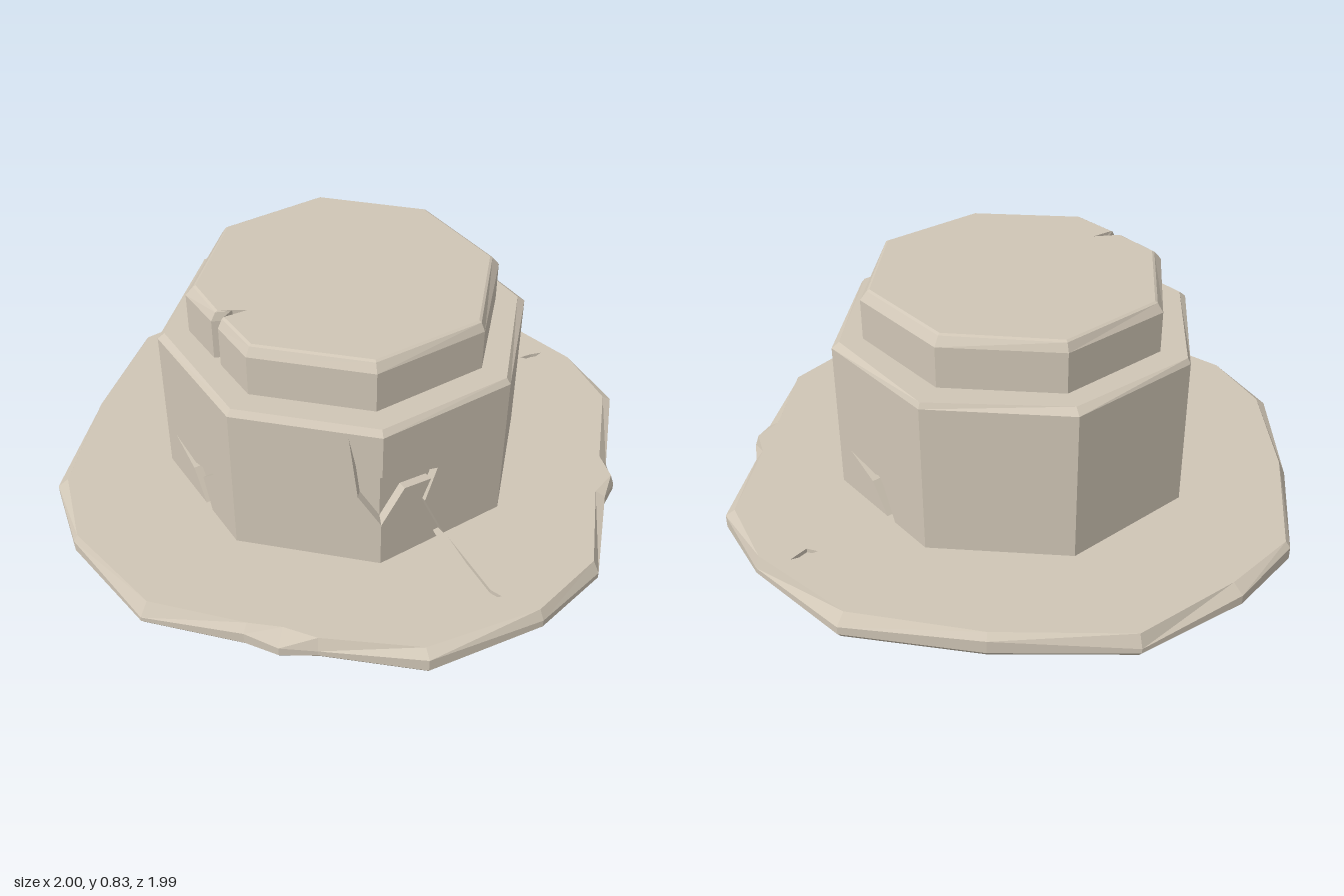
import * as THREE from 'three';

const stone = new THREE.MeshStandardMaterial({ color: 0xd0c6b6, flatShading: true, roughness: 0.9 });
const T = Math.tan(Math.PI / 8);

function mesh(name, geometry) {
  const m = new THREE.Mesh(geometry, stone);
  m.name = name;
  return m;
}

// Skin between rings of [x, y, z] points, closed at both ends
function loft(rings) {
  const pos = [];
  const tri = (a, b, c) => pos.push(...a, ...b, ...c);
  const centre = r => [0, r.reduce((s, p) => s + p[1], 0) / r.length, 0];
  const n = rings[0].length;
  const first = rings[0], last = rings[rings.length - 1];
  for (let i = 0; i < n; i++) {
    const j = (i + 1) % n;
    for (let k = 0; k + 1 < rings.length; k++) {
      const lo = rings[k], hi = rings[k + 1];
      tri(lo[i], lo[j], hi[j]);
      tri(lo[i], hi[j], hi[i]);
    }
    tri(centre(last), last[i], last[j]);
    tri(centre(first), first[j], first[i]);
  }
  const g = new THREE.BufferGeometry();
  g.setAttribute('position', new THREE.Float32BufferAttribute(pos, 3));
  g.computeVertexNormals();
  return g;
}

const ring = (outline, y, scale = 1) => outline.map(([x, z]) => [x * scale, y, z * scale]);

// Octagon corners, starting at the right end of the front face
function octagon(apothem) {
  return Array.from({ length: 8 }, (_, i) => {
    const a = (i + 0.5) * Math.PI / 4, r = apothem / Math.cos(Math.PI / 8);
    return [Math.sin(a) * r, Math.cos(a) * r];
  });
}

// Flat horizontal plate, cut through by cracks
function plate(outline, y, thickness, holes = []) {
  const v = ([x, z]) => new THREE.Vector2(x, -z);
  const shape = new THREE.Shape(outline.map(v));
  shape.holes = holes.map(h => new THREE.Path(h.map(v)));
  return new THREE.ExtrudeGeometry(shape, { depth: thickness, bevelEnabled: false })
    .rotateX(-Math.PI / 2).translate(0, y - thickness, 0);
}

// Worn base slab with an irregular rim
function buildSlab() {
  const group = new THREE.Group();
  group.name = 'baseSlab';
  const rim = [
    [0, 0.99], [0.12, 0.965], [0.47, 0.95], [0.8, 0.7], [0.965, 0.45], [0.97, 0.1], [1, 0],
    [0.97, -0.1], [0.97, -0.47], [0.8, -0.7], [0.47, -0.96], [0, -1], [-0.47, -0.96],
    [-0.79, -0.71], [-0.965, -0.47], [-1, 0], [-0.965, 0.45], [-0.8, 0.7], [-0.47, 0.95], [-0.12, 0.965],
  ];
  const wear = i => 0.975 + 0.012 * Math.sin(i * 2.3);
  const top = rim.map(([x, z], i) => {
    const s = i === 0 ? 0.94 : wear(i);
    return [x * s, z * s];
  });
  const shoulder = rim.map(([x, z], i) => [x, 0.052 + 0.016 * Math.sin(i * 4.1), z]);
  group.add(mesh('slabBody', loft([
    ring(rim, 0, 0.985), ring(rim, 0.02), shoulder, ring(top, 0.085), ring(top, 0.07, 0.98),
  ])));
  const cracks = [
    [[0.45, 0.43], [0.62, 0.64], [0.66, 0.66], [0.61, 0.68], [0.6, 0.64]],
    [[0.6, -0.65], [0.64, -0.64], [0.68, -0.7], [0.64, -0.68]],
  ];
  group.add(mesh('slabTop', plate(top, 0.085, 0.02, cracks)));
  return group;
}

// Octagonal drum: a core faced with panels whose gaps form the cracks
function buildDrum() {
  const group = new THREE.Group();
  group.name = 'drum';
  const b = 0.07, t = 0.63, h = 0.6 * T;
  const plain = [[[-h, b], [h, b], [h, t], [-h, t]]];
  const chipped = [[
    [-h, b], [0.04, b], [-0.05, 0.19], [-0.18, 0.25], [-0.03, 0.23], [0.11, 0.28],
    [0.02, 0.2], [0.08, b], [h, b], [h, t], [-h, t],
  ]];
  const faces = {
    0: [[
      [-h, b], [h, b], [h, 0.26], [0.17, 0.37], [0.14, 0.61], [0.185, 0.4],
      [0.22, 0.46], [h, 0.47], [h, t], [-h, t],
    ]],
    1: [
      [[-h, b], [-0.01, b], [-0.1, 0.27], [-0.055, 0.37], [-0.16, 0.38], [-h, 0.26]],
      [[0.02, b], [h, b], [h, t], [-h, t], [-h, 0.47], [-0.03, 0.405], [-0.075, 0.28]],
    ],
    3: chipped,
    7: chipped,
  };
  group.add(mesh('drumCore', loft([ring(octagon(0.57), b), ring(octagon(0.57), t)])));
  for (let i = 0; i < 8; i++) {
    for (const outline of faces[i] || plain) {
      const shape = new THREE.Shape(outline.map(p => new THREE.Vector2(...p)));
      const g = new THREE.ExtrudeGeometry(shape, { depth: 0.04, bevelEnabled: false });
      g.translate(0, 0, 0.56).rotateY(i * Math.PI / 4);
      group.add(mesh('drumPanel', g));
    }
  }
  // Bevelled top edge, unevenly worn
  const edge = octagon(0.6);
  const worn = edge.map(([x, z], i) => {
    const s = 0.97 + 0.015 * Math.sin(i * 2.7);
    return [x * s, 0.65, z * s];
  });
  group.add(mesh('drumRim', loft([ring(edge, t), worn])));
  return group;
}

// Bevelled cap with a split running across its top from a notch in the edge
function buildCap() {
  const group = new THREE.Group();
  group.name = 'cap';
  const outline = octagon(0.5);
  // Notch in the front right diagonal side
  outline.splice(6, 0, ...[[-0.37, 0.337], [-0.32, 0.32], [-0.337, 0.37]].reverse());
  // Corners 5 and 6 bound that side, so order the points around the rim
  outline.sort((p, q) => angle(p) - angle(q));
  const notch = outline.findIndex(p => p[0] === -0.32);
  const wear = i => 0.945 + 0.012 * Math.sin(i * 1.9);
  const top = outline.map(([x, z], i) => {
    const s = Math.abs(i - notch) < 2 ? 0.95 : wear(i);
    return [x * s, z * s];
  });
  group.add(mesh('capBody', loft([
    ring(outline, 0.64), ring(outline, 0.795), ring(top, 0.825, 1.018),
    ring(top, 0.83), ring(top, 0.81, 0.99),
  ])));
  const split = [
    [-0.225, 0.27], [-0.155, 0.11], [-0.19, 0.06], [-0.115, 0.025], [0.02, -0.19], [0.165, -0.47],
    [0.028, -0.185], [-0.09, 0.05], [-0.125, 0.07], [-0.12, 0.11], [-0.2, 0.285],
  ];
  const cracked = [...top];
  cracked.splice(notch, 1, ...split.reverse());
  group.add(mesh('capTop', plate(cracked, 0.83, 0.025)));
  return group;
}

function angle([x, z]) {
  const a = Math.atan2(x, z);
  return a < 0 ? a + 2 * Math.PI : a;
}

export function createModel() {
  const model = new THREE.Group();
  model.name = 'stonePedestal';
  model.add(buildSlab(), buildDrum(), buildCap());
  return model;
}
